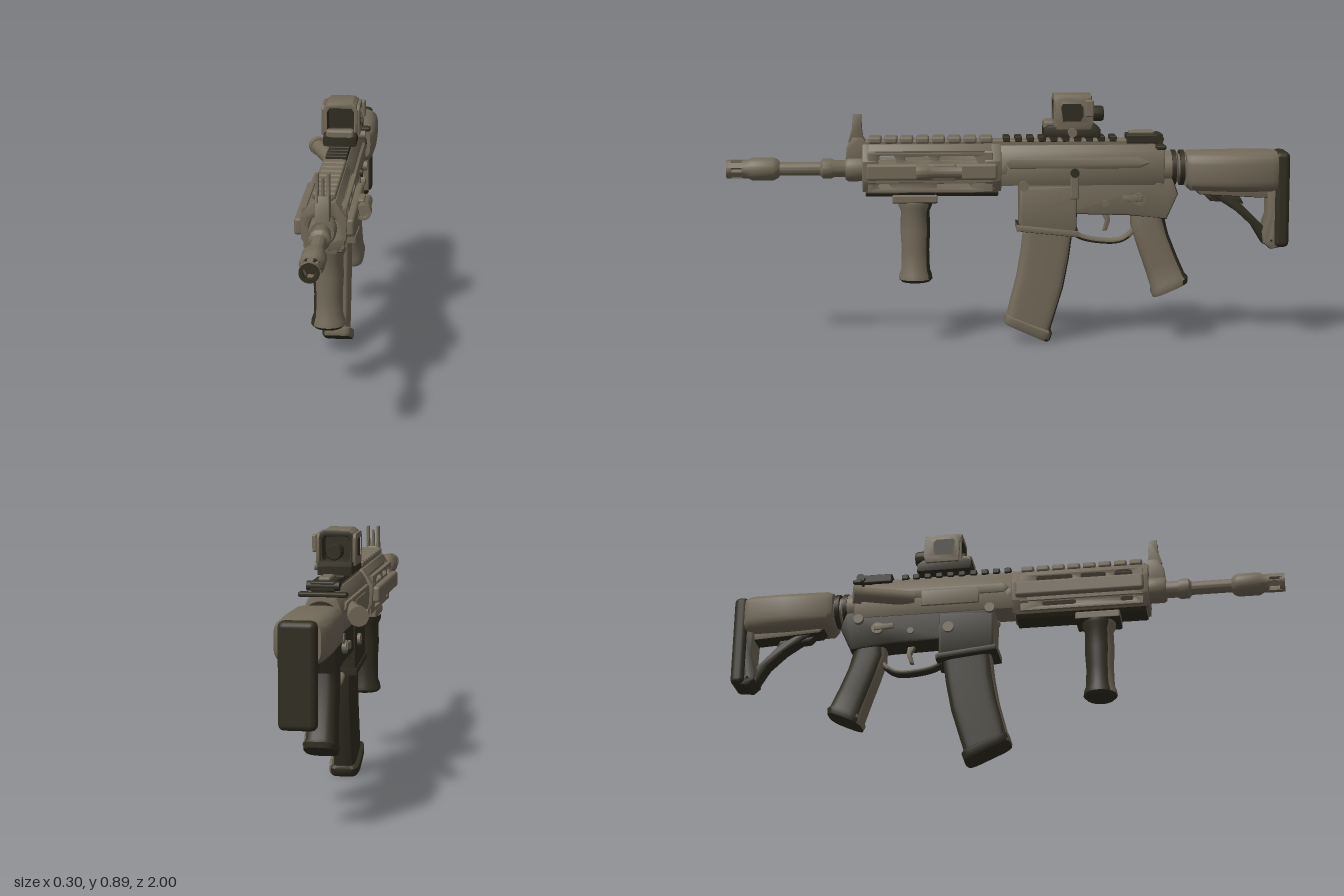
import * as THREE from 'three';
import { toCreasedNormals } from 'three/addons/utils/BufferGeometryUtils.js';
import { RoundedBoxGeometry } from 'three/addons/geometries/RoundedBoxGeometry.js';

export function createModel() {
  const root = new THREE.Group();
  root.name = 'model';
  const finish = new THREE.MeshStandardMaterial({ color: 0x736a59 });
  finish.name = 'olive brown finish';
  const dark = new THREE.MeshStandardMaterial({ color: 0x302d20 });
  dark.name = 'dark olive';

  const add = (name, geo) => {
    const mesh = new THREE.Mesh(geo, finish);
    mesh.name = name;
    root.add(mesh);
    return mesh;
  };
  // Two-colour part: faces picked by normal n and centre c become dark
  const split = (mesh, isDark) => {
    const g = mesh.geometry.index ? mesh.geometry.toNonIndexed() : mesh.geometry;
    const sets = [[], []], tri = new THREE.Triangle(), n = new THREE.Vector3(), c = new THREE.Vector3();
    for (let i = 0; i < g.attributes.position.count; i += 3) {
      tri.setFromAttributeAndIndices(g.attributes.position, i, i + 1, i + 2);
      sets[isDark(tri.getNormal(n), tri.getMidpoint(c)) ? 1 : 0].push(i, i + 1, i + 2);
    }
    g.setIndex([...sets[0], ...sets[1]]);
    g.clearGroups();
    g.addGroup(0, sets[0].length, 0);
    g.addGroup(sets[0].length, sets[1].length, 1);
    mesh.geometry = g;
    mesh.material = [finish, dark];
  };
  const rearHalf = (n) => n.x + n.z < -0.05 || n.y < -0.6;
  const underside = (n) => n.y < -0.5;
  const box = (name, x, y, z, w, h, d, r = 0.006) =>
    add(name, new RoundedBoxGeometry(w, h, d, 2, Math.min(r, w / 2.2, h / 2.2, d / 2.2)).translate(x, y, z));
  const toShape = (pts) => new THREE.Shape(pts.map((p) => new THREE.Vector2(p[0], p[1])));
  const extrude = (shape, depth, bevel) => new THREE.ExtrudeGeometry(shape, {
    depth: depth - 2 * bevel, bevelEnabled: bevel > 0, bevelSize: bevel, bevelThickness: bevel,
    bevelOffset: -bevel, bevelSegments: 2, curveSegments: 10,
  }).translate(0, 0, bevel);
  // Side profile given as [z, y], centred on x
  const plate = (name, pts, w, x = 0, bevel = 0.006, holes = []) => {
    const shape = toShape(pts);
    shape.holes = holes;
    const g = extrude(shape, w, bevel).translate(0, 0, -w / 2).rotateY(-Math.PI / 2).translate(x, 0, 0);
    return add(name, toCreasedNormals(g, 0.6));
  };
  // Mirrored front section given as right half [x, y] from bottom to top, swept along z
  const bar = (name, half, z0, z1, bevel = 0.004, holes = []) => {
    const shape = toShape([...half, ...half.slice().reverse().map(([x, y]) => [-x, y])]);
    shape.holes = holes;
    return add(name, toCreasedNormals(extrude(shape, z1 - z0, bevel).translate(0, 0, z0), 0.6));
  };
  const slot = (z0, z1, y0, y1) => {
    const r = (y1 - y0) / 2, p = new THREE.Path();
    p.absarc(z0 + r, y0 + r, r, Math.PI / 2, Math.PI * 1.5, false);
    p.absarc(z1 - r, y0 + r, r, -Math.PI / 2, Math.PI / 2, false);
    return p.closePath();
  };
  // Turned part along z; profile is [radius, z] from back to front
  const turned = (name, prof, x, y) =>
    add(name, toCreasedNormals(new THREE.LatheGeometry(prof.map((p) => new THREE.Vector2(...p)), 28)
      .rotateX(Math.PI / 2).translate(x, y, 0), 0.6));
  const pin = (name, x, y, z, r, len) =>
    add(name, new THREE.CylinderGeometry(r, r, len, 18).rotateZ(Math.PI / 2).translate(x, y, z));
  // Rounded-rectangle cross-sections [y, z, halfWidth, halfDepth, tilt] joined in order
  const loft = (name, sections, power = 0.4, n = 32) => {
    const pos = [], idx = [];
    const sp = (v) => Math.sign(v) * Math.abs(v) ** power;
    for (const [y, z, hw, hd, a] of sections) for (let j = 0; j < n; j++) {
      const t = (j / n) * Math.PI * 2, d = hd * sp(Math.sin(t));
      pos.push(hw * sp(Math.cos(t)), y + d * Math.sin(a), z + d * Math.cos(a));
    }
    const last = sections.length - 1;
    for (let i = 0; i < last; i++) for (let j = 0; j < n; j++) {
      const a = i * n + j, b = i * n + ((j + 1) % n);
      idx.push(a, b, b + n, a, b + n, a + n);
    }
    for (let j = 1; j < n - 1; j++) idx.push(0, j + 1, j, last * n, last * n + j, last * n + j + 1);
    const g = new THREE.BufferGeometry();
    g.setAttribute('position', new THREE.Float32BufferAttribute(pos, 3));
    g.setIndex(idx);
    return add(name, toCreasedNormals(g, 0.7));
  };

  // Barrel and muzzle
  turned('barrel', [[0, 0], [0.03, 0], [0.03, 0.62], [0.036, 0.63], [0.036, 0.66], [0.024, 0.67], [0.024, 0.85], [0, 0.85]], 0, 0.633);
  split(turned('muzzleCollar', [[0.022, 0.81], [0.034, 0.82], [0.041, 0.835], [0.041, 0.91], [0.033, 0.925], [0.033, 0.945], [0, 0.945]], 0, 0.633),
    (n) => n.z > 0.9);
  for (let i = 0; i < 6; i++)
    add('muzzleProng', new THREE.BoxGeometry(0.019, 0.012, 0.05).translate(0, 0.027, 0.965).rotateZ((i * Math.PI) / 3).translate(0, 0.633, 0));
  split(turned('muzzleRing', [[0.02, 0.982], [0.033, 0.982], [0.033, 1], [0.02, 1], [0.02, 0.982]], 0, 0.633),
    (n, c) => n.z > 0.5 || n.x * c.x + n.y * (c.y - 0.633) < 0);

  // Front sight and gas block
  turned('gasBlock', [[0, 0.5], [0.042, 0.5], [0.046, 0.52], [0.046, 0.57], [0.04, 0.58], [0, 0.58]], 0, 0.633);
  plate('frontSightBase', [[0.5, 0.66], [0.58, 0.66], [0.575, 0.71], [0.555, 0.75], [0.52, 0.75], [0.5, 0.72]], 0.05);
  for (const s of [-1, 1])
    plate('frontSightEar', [[0.515, 0.73], [0.57, 0.73], [0.555, 0.78], [0.553, 0.825], [0.522, 0.825], [0.522, 0.78]], 0.01, s * 0.019, 0.003);
  add('frontSightPost', new THREE.CylinderGeometry(0.005, 0.007, 0.07, 10).translate(0, 0.775, 0.54));

  // Handguard
  const hull = [[0.05, 0.555], [0.075, 0.595], [0.078, 0.665], [0.04, 0.722]];
  const bore = () => new THREE.Path().absarc(0, 0.633, 0.05, 0, Math.PI * 2, true);
  bar('handguardFrontCollar', hull, 0.47, 0.52, 0.004, [bore()]);
  bar('handguardRearCollar', hull, 0.03, 0.09, 0.004, [bore()]);
  bar('handguardTop', [[0.053, 0.69], [0.055, 0.7], [0.04, 0.722]], 0.06, 0.5);
  split(bar('handguardBottom', [[0.04, 0.537], [0.05, 0.55], [0.058, 0.565]], 0.04, 0.51), underside);
  for (const s of [-1, 1]) {
    plate('handguardSide', [[0.06, 0.59], [0.5, 0.59], [0.5, 0.695], [0.06, 0.695]], 0.016, s * 0.067, 0.003,
      [slot(0.4, 0.465, 0.65, 0.688), slot(0.28, 0.37, 0.666, 0.684), slot(0.12, 0.25, 0.666, 0.684)]);
    box('sideRail', s * 0.086, 0.63, 0.275, 0.028, 0.058, 0.46, 0.01);
    plate('handguardLowerSide', [[0.06, 0.555], [0.5, 0.555], [0.5, 0.6], [0.06, 0.6]], 0.014, s * 0.061, 0.003,
      [slot(0.14, 0.26, 0.57, 0.585), slot(0.42, 0.465, 0.57, 0.585)]);
  }

  // Top rail with covers in front and open teeth behind
  box('topRailBase', 0, 0.722, 0.01, 0.06, 0.026, 1);
  for (let i = 0; i < 8; i++) box('railCover', 0, 0.736, 0.475 - i * 0.056, 0.08, 0.024, 0.046, 0.008);
  for (let i = 0; i < 10; i++) box('railTooth', 0, 0.738, 0.01 - i * 0.042, 0.076, 0.02, 0.025, 0.004).material = dark;

  // Side light on the handguard
  turned('sideLight', [[0, 0.17], [0.021, 0.17], [0.021, 0.28], [0.027, 0.29], [0.027, 0.33], [0.018, 0.33], [0.016, 0.32], [0, 0.32]], 0.118, 0.632);
  box('sideLightMount', 0.106, 0.632, 0.23, 0.024, 0.058, 0.08);

  // Foregrip
  split(add('foregrip', toCreasedNormals(new THREE.LatheGeometry([[0, 0.225], [0.05, 0.225], [0.06, 0.235], [0.058, 0.25], [0.051, 0.27], [0.049, 0.34],
    [0.053, 0.41], [0.051, 0.48], [0.06, 0.5], [0.06, 0.515], [0, 0.515]].map((p) => new THREE.Vector2(...p)), 28)
    .translate(0, 0, 0.335), 0.5)), rearHalf);
  split(box('foregripClamp', 0, 0.528, 0.335, 0.11, 0.03, 0.16), underside);

  // Upper receiver
  bar('upperReceiver', [[0.056, 0.575], [0.064, 0.6], [0.064, 0.66], [0.05, 0.695], [0.035, 0.716]], -0.55, 0.035, 0.008);
  turned('barrelNut', [[0, 0], [0.062, 0], [0.066, 0.015], [0.066, 0.03], [0.06, 0.045], [0, 0.045]], 0, 0.633);
  plate('sideRidge', [[-0.5, 0.655], [-0.46, 0.635], [0, 0.635], [0.02, 0.655], [0, 0.675], [-0.46, 0.675]], 0.138, 0, 0.008);
  plate('ejectionCover', [[-0.3, 0.6], [-0.09, 0.6], [-0.09, 0.66], [-0.3, 0.66]], 0.012, -0.067, 0.004);
  box('chargingHandle', 0, 0.71, -0.535, 0.165, 0.016, 0.035).material = dark;
  const angled = (name, r, len, x, z) =>
    add(name, new THREE.CylinderGeometry(r, r, len, 20).rotateX(Math.PI / 2).rotateY(0.33).translate(x, 0.64, z));
  angled('forwardAssist', 0.027, 0.21, -0.085, -0.43);
  angled('forwardAssistCap', 0.034, 0.03, -0.115, -0.525);

  // Folded rear sight
  box('rearSightBase', 0, 0.737, -0.48, 0.085, 0.034, 0.13).material = dark;
  box('rearSightLeaf', 0, 0.757, -0.47, 0.04, 0.014, 0.09);
  pin('rearSightKnob', 0, 0.738, -0.53, 0.016, 0.11).material = dark;

  // Lower receiver
  split(plate('lowerReceiver', [[-0.04, 0.6], [-0.04, 0.42], [-0.235, 0.4], [-0.24, 0.47], [-0.42, 0.465], [-0.56, 0.45], [-0.6, 0.54], [-0.58, 0.6]], 0.105, 0, 0.01), rearHalf);
  split(plate('magazineWell', [[-0.035, 0.57], [-0.035, 0.418], [-0.238, 0.396], [-0.238, 0.57]], 0.122, 0, 0.012), rearHalf);
  split(plate('magazineWellLip', [[-0.025, 0.435], [-0.025, 0.412], [-0.245, 0.388], [-0.245, 0.411]], 0.132), rearHalf);
  for (const s of [-1, 1]) {
    pin('frontPin', s * 0.06, 0.575, -0.05, 0.018, 0.03);
    pin('rearPin', s * 0.056, 0.565, -0.53, 0.018, 0.03);
    pin('triggerPin', s * 0.054, 0.51, -0.34, 0.012, 0.012);
    pin('selectorHub', s * 0.056, 0.525, -0.46, 0.022, 0.022);
    plate('selectorLever', [[-0.47, 0.515], [-0.4, 0.52], [-0.4, 0.538], [-0.47, 0.54]], 0.012, s * 0.066, 0.003);
    pin('magazineRelease', s * 0.064, 0.51, -0.2, 0.02, 0.016);
  }
  box('boltCatch', 0.06, 0.57, -0.23, 0.018, 0.09, 0.03);
  pin('boltCatchButton', 0.068, 0.62, -0.23, 0.016, 0.016).material = dark;

  // Trigger and guard
  const guard = new THREE.CatmullRomCurve3([[0.41, -0.22], [0.385, -0.25], [0.368, -0.32], [0.37, -0.4], [0.405, -0.445], [0.45, -0.46]]
    .map(([y, z]) => new THREE.Vector3(0, y, z)));
  split(add('triggerGuard', new THREE.TubeGeometry(guard, 24, 0.011, 8).scale(2.2, 1, 1)), underside);
  plate('trigger', [[-0.325, 0.48], [-0.355, 0.48], [-0.362, 0.44], [-0.35, 0.405], [-0.335, 0.402], [-0.345, 0.44]], 0.022, 0, 0.003);

  // Magazine
  split(loft('magazine', [[0.5, -0.14, 0.042, 0.085, 0], [0.42, -0.14, 0.042, 0.088, 0.05], [0.32, -0.128, 0.042, 0.087, 0.12],
    [0.22, -0.11, 0.042, 0.086, 0.2], [0.13, -0.085, 0.042, 0.084, 0.27], [0.06, -0.066, 0.042, 0.082, 0.33]]), rearHalf);
  split(loft('magazineBase', [[0.074, -0.073, 0.044, 0.083, 0.38], [0.068, -0.071, 0.055, 0.09, 0.4],
    [0.046, -0.064, 0.055, 0.09, 0.42], [0.038, -0.061, 0.05, 0.085, 0.42]]), rearHalf);

  // Pistol grip with a dark back
  split(loft('pistolGrip', [[0.5, -0.51, 0.045, 0.075, -0.1], [0.44, -0.495, 0.048, 0.062, -0.25], [0.37, -0.515, 0.05, 0.06, -0.35],
    [0.29, -0.545, 0.052, 0.062, -0.38], [0.22, -0.572, 0.055, 0.066, -0.42],
    [0.208, -0.576, 0.06, 0.072, -0.42], [0.19, -0.58, 0.056, 0.068, -0.42]], 0.65), (n) => n.x + 1.5 * n.z < 0.05 || n.y < -0.7);

  // Stock tube and stock
  turned('stockTube', [[0, -0.9], [0.05, -0.9], [0.05, -0.6], [0.06, -0.595], [0.06, -0.55], [0, -0.55]], 0, 0.63);
  for (const z of [-0.585, -0.615])
    turned('stockTubeRing', [[0.045, z - 0.008], [0.063, z - 0.008], [0.063, z + 0.008], [0.045, z + 0.008]], 0, 0.63).material = dark;
  const down = -Math.PI / 2;
  loft('stockBody', [[0.625, -0.628, 0.076, 0.06, down], [0.62, -0.645, 0.088, 0.07, down], [0.618, -0.8, 0.09, 0.074, down],
    [0.618, -0.93, 0.086, 0.074, down], [0.618, -0.955, 0.07, 0.07, down]], 0.55);
  split(plate('stockKeel', [[-0.64, 0.57], [-0.68, 0.535], [-0.95, 0.52], [-0.95, 0.58]], 0.075, 0, 0.008), underside);
  plate('stockStrut', [[-0.68, 0.55], [-0.74, 0.55], [-0.83, 0.5], [-0.91, 0.42], [-0.94, 0.35], [-0.91, 0.355], [-0.87, 0.42], [-0.81, 0.475], [-0.74, 0.52]], 0.06, 0, 0.005).material = dark;
  plate('adjustmentLever', [[-0.7, 0.53], [-0.83, 0.52], [-0.84, 0.5], [-0.72, 0.51]], 0.04, 0, 0.004).material = dark;
  split(plate('buttColumn', [[-0.92, 0.6], [-0.925, 0.46], [-0.905, 0.4], [-0.91, 0.36], [-0.935, 0.338], [-0.97, 0.345], [-0.975, 0.6]], 0.1, 0, 0.008,
    [new THREE.Path().absarc(-0.937, 0.37, 0.012, 0, Math.PI * 2, true)]), rearHalf);
  box('buttPad', 0, 0.517, -0.973, 0.124, 0.345, 0.054, 0.02).material = dark;

  // Optic
  plate('opticMount', [[-0.12, 0.745], [-0.32, 0.745], [-0.32, 0.775], [-0.3, 0.79], [-0.14, 0.79], [-0.12, 0.78]], 0.12).material = dark;
  const lens = toShape([[-0.042, 0.792], [-0.047, 0.8], [-0.047, 0.862], [-0.038, 0.874], [0.038, 0.874], [0.047, 0.862], [0.047, 0.8], [0.042, 0.792]]);
  split(bar('opticHood', [[0.058, 0.765], [0.06, 0.78], [0.06, 0.87], [0.056, 0.886], [0.042, 0.896]], -0.29, -0.155, 0.005, [lens]),
    (n, c) => n.z < -0.5 || (Math.abs(n.z) < 0.5 && n.x * c.x + n.y * (c.y - 0.833) < 0));
  for (const s of [-1, 1]) {
    plate('opticSideFrame', [[-0.165, 0.775], [-0.285, 0.775], [-0.295, 0.8], [-0.29, 0.87], [-0.275, 0.885], [-0.175, 0.885], [-0.16, 0.87]], 0.012, s * 0.063, 0.003,
      [toShape([[-0.185, 0.8], [-0.25, 0.8], [-0.262, 0.82], [-0.262, 0.855], [-0.25, 0.868], [-0.185, 0.868], [-0.177, 0.855]])]);
    box('opticSidePanel', s * 0.061, 0.834, -0.22, 0.006, 0.074, 0.09, 0.002).material = dark;
  }
  box('opticGlass', 0, 0.833, -0.22, 0.1, 0.09, 0.008, 0.002).material = dark;
  box('opticFrontBlock', 0, 0.786, -0.14, 0.1, 0.036, 0.04, 0.01);
  turned('opticRearKnob', [[0, -0.335], [0.024, -0.335], [0.028, -0.325], [0.028, -0.285], [0, -0.285]], 0, 0.825).material = dark;
  pin('opticClampScrew', 0.07, 0.765, -0.22, 0.016, 0.03);
  box('opticSideButton', 0.074, 0.85, -0.28, 0.016, 0.06, 0.03);

  return root;
}
